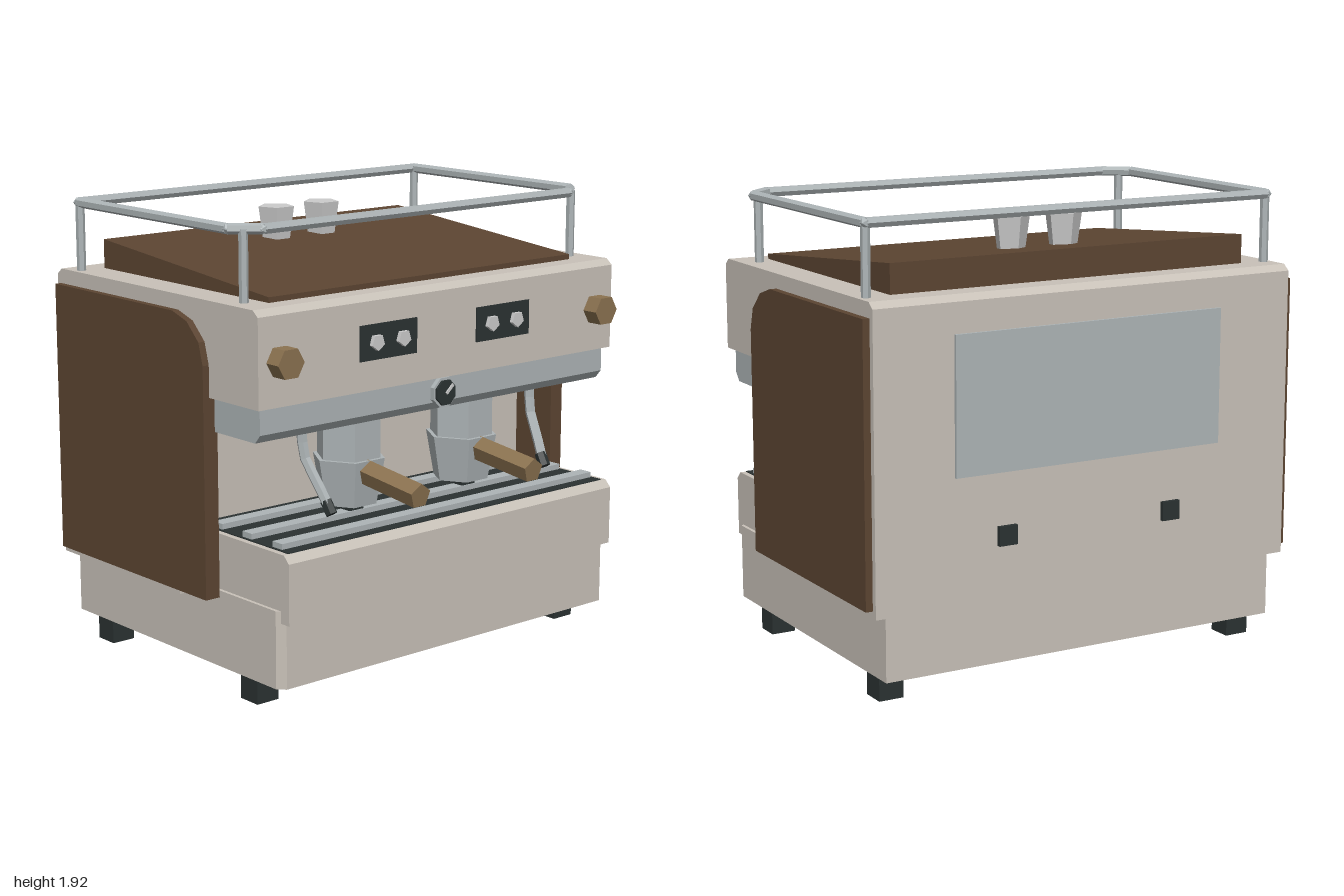
import * as THREE from 'three';

const mat = (color) => new THREE.MeshStandardMaterial({ color, flatShading: true });

export function createModel() {
  const model = new THREE.Group();
  const body = mat(0xc8c1b8), steel = mat(0xadb4b6), wood = mat(0x5c4532);
  const dark = mat(0x2b3232), tan = mat(0x8b7250), pale = mat(0xcccccc);

  const add = (name, geometry, material, x = 0, y = 0, z = 0) => {
    const mesh = new THREE.Mesh(geometry, material);
    mesh.name = name;
    mesh.position.set(x, y, z);
    model.add(mesh);
    return mesh;
  };
  // Box given by its limits on y and z, centred on x
  const box = (name, material, x, w, y0, y1, z0, z1) =>
    add(name, new THREE.BoxGeometry(w, y1 - y0, z1 - z0), material, x, (y0 + y1) / 2, (z0 + z1) / 2);
  // Side profile of [z, y] points extruded across x
  const profile = (name, material, points, w, x = 0) => {
    const shape = new THREE.Shape(points.map(([z, y]) => new THREE.Vector2(z, y)));
    const g = new THREE.ExtrudeGeometry(shape, { depth: w, bevelEnabled: false });
    g.rotateY(-Math.PI / 2).translate(w / 2, 0, 0);
    return add(name, g, material, x);
  };
  // Straight bar between two points
  const bar = (name, material, a, b, r, sides, spin = 0) => {
    const from = new THREE.Vector3(...a), to = new THREE.Vector3(...b);
    const g = new THREE.CylinderGeometry(r, r, from.distanceTo(to), sides).rotateY(spin);
    const mesh = add(name, g, material);
    mesh.position.lerpVectors(from, to, 0.5);
    mesh.quaternion.setFromUnitVectors(new THREE.Vector3(0, 1, 0), to.clone().sub(from).normalize());
    return mesh;
  };
  // Disc or prism facing the front
  const dial = (name, material, x, y, z0, z1, r, sides, spin = 0) =>
    add(name, new THREE.CylinderGeometry(r, r, z1 - z0, sides).rotateY(spin).rotateX(Math.PI / 2),
      material, x, y, (z0 + z1) / 2);

  // Base with chamfered front corners, and feet
  const plan = new THREE.Shape([[-0.915, -0.745], [0.915, -0.745], [0.915, 0.61], [0.885, 0.64], [-0.885, 0.64], [-0.915, 0.61]]
    .map(([x, z]) => new THREE.Vector2(x, -z)).reverse());
  add('base', new THREE.ExtrudeGeometry(plan, { depth: 0.32, bevelEnabled: false }).rotateX(-Math.PI / 2), body, 0, 0.11);
  for (const x of [-0.84, 0.84]) for (const z of [0.41, -0.59])
    box('foot', dark, x, 0.107, 0, 0.11, z - 0.053, z + 0.053);

  // Main housing with overhanging head
  profile('housing', body, [[-0.77, 0.38], [0.06, 0.38], [0.06, 1.23], [0.585, 1.23], [0.585, 1.59],
    [0.555, 1.615], [-0.74, 1.615], [-0.77, 1.59]], 1.94);
  profile('headTrim', steel, [[0.0, 1.09], [0.53, 1.09], [0.56, 1.125], [0.56, 1.23], [0.0, 1.23]], 1.89);

  // Drip tray and grate
  profile('dripTray', body, [[0.0, 0.38], [0.675, 0.38], [0.675, 0.63], [0.645, 0.66], [0.0, 0.66]], 1.8);
  box('trayWell', dark, 0, 1.75, 0.65, 0.664, 0.06, 0.64);
  for (const z of [0.18, 0.37, 0.56]) box('grateBar', steel, 0, 1.73, 0.66, 0.687, z - 0.03, z + 0.03);

  // Wooden side panels and sloping lid
  for (const s of [-1, 1])
    profile('sidePanel', wood, [[-0.745, 0.41], [0.275, 0.41], [0.275, 1.36], [0.25, 1.45], [0.175, 1.523],
      [0.08, 1.553], [-0.745, 1.553]], 0.068, s * 0.966);
  profile('lid', wood, [[-0.635, 1.61], [0.47, 1.61], [0.47, 1.637], [-0.635, 1.737]], 1.65);

  // Cup rail and posts
  const rail = [[-0.935, -0.65], [0.935, -0.65], [0.935, 0.36], [0.835, 0.45], [-0.835, 0.45], [-0.935, 0.36]];
  rail.forEach(([x, z], i) => {
    const [x2, z2] = rail[(i + 1) % rail.length];
    bar('rail', steel, [x, 1.9, z], [x2, 1.9, z2], 0.022, 6);
    add('railJoint', new THREE.IcosahedronGeometry(0.023, 0), steel, x, 1.9, z);
  });
  for (const s of [-1, 1]) {
    bar('railPost', steel, [s * 0.895, 1.6, 0.405], [s * 0.895, 1.9, 0.405], 0.019, 6);
    bar('railPost', steel, [s * 0.933, 1.6, -0.645], [s * 0.933, 1.9, -0.645], 0.019, 6);
  }

  // Cups
  for (const x of [-0.125, 0.125])
    add('cup', new THREE.CylinderGeometry(0.08, 0.056, 0.175, 5).rotateY(Math.PI), pale, x, 1.758, -0.355);

  // Pressure gauge
  dial('gaugeRing', steel, 0, 1.165, 0.55, 0.58, 0.066, 8, Math.PI / 8);
  dial('gaugeFace', dark, 0, 1.165, 0.57, 0.59, 0.055, 8, Math.PI / 8);
  const needle = add('gaugeNeedle', new THREE.BoxGeometry(0.05, 0.012, 0.008), pale, 0.016, 1.179, 0.592);
  needle.rotation.z = 0.75;

  for (const s of [-1, 1]) {
    const x = s * 0.315;
    // Button panel and steam knob
    box('buttonPanel', dark, x, 0.3, 1.353, 1.497, 0.575, 0.592);
    for (const d of [-0.07, 0.07]) dial('button', pale, x + d, 1.425, 0.59, 0.61, 0.034, 5);
    dial('steamKnob', tan, s * 0.866, 1.41, 0.57, 0.657, 0.065, 6, Math.PI / 6);

    // Brewing group, filter holder, spout and handle
    add('groupHead', new THREE.CylinderGeometry(0.137, 0.137, 0.2, 6).rotateY(Math.PI / 6), steel, x, 1.0, 0.345);
    add('filterHolder', new THREE.CylinderGeometry(0.156, 0.12, 0.195, 6).rotateY(Math.PI / 6), steel, x, 0.812, 0.345);
    box('spout', dark, x, 0.075, 0.687, 0.72, 0.31, 0.395);
    bar('handle', tan, [x, 0.866, 0.4], [x, 0.822, 0.782], 0.053, 5, Math.PI);

    // Steam wand
    const path = new THREE.CatmullRomCurve3([[0.636, 1.1, 0.43], [0.63, 0.97, 0.445], [0.615, 0.88, 0.5], [0.6, 0.79, 0.55]]
      .map(([px, py, pz]) => new THREE.Vector3(s * px, py, pz)));
    add('steamWand', new THREE.TubeGeometry(path, 5, 0.022, 6), steel);
    bar('wandTip', dark, [s * 0.601, 0.805, 0.54], [s * 0.597, 0.755, 0.572], 0.025, 6);

    // Rear connector
    box('rearConnector', dark, s * 0.387, 0.083, 0.602, 0.682, -0.788, -0.76);
  }

  // Rear access plate
  box('rearPlate', steel, 0, 1.24, 0.9, 1.465, -0.783, -0.76);
  return model;
}
